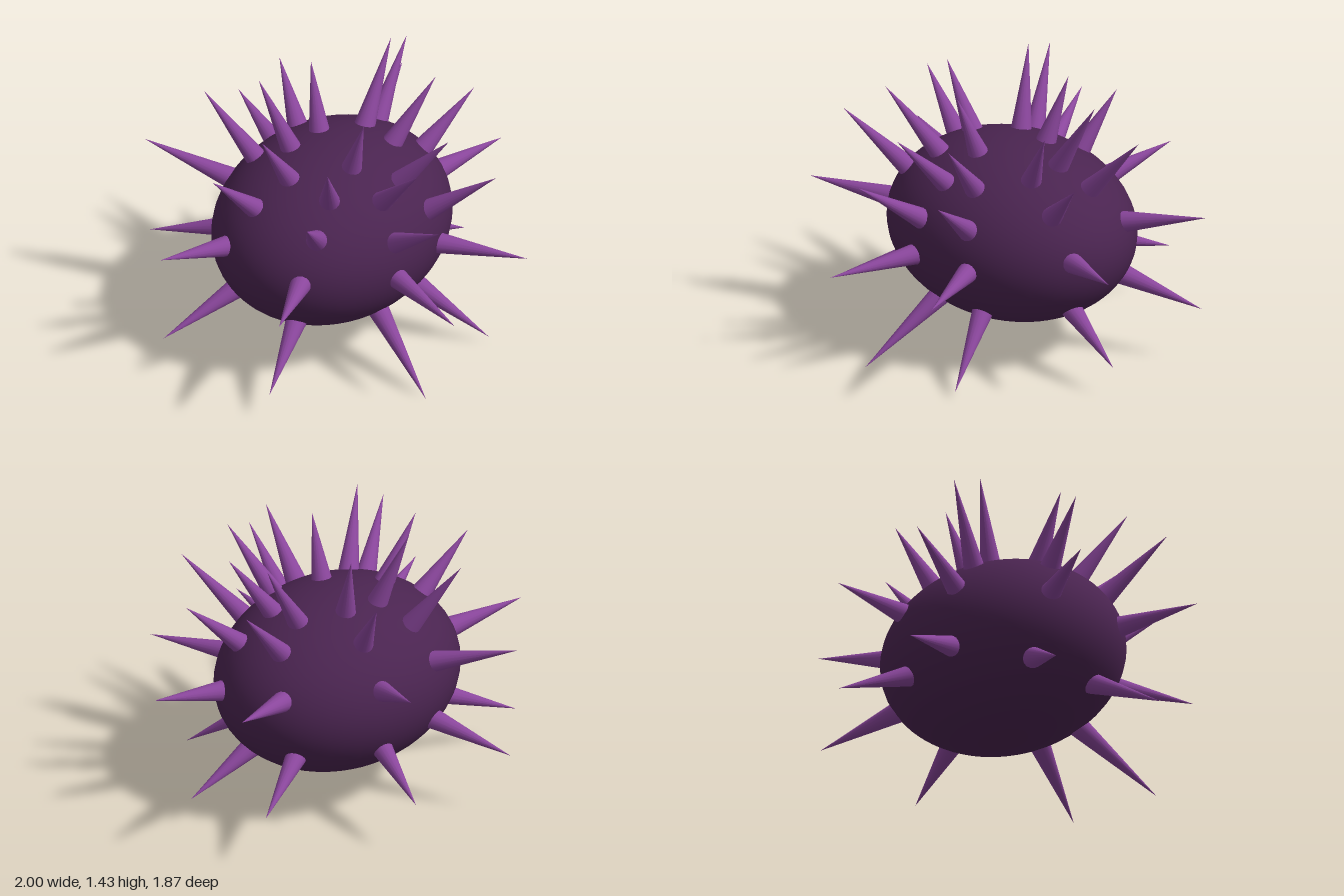
import * as THREE from 'three';

const CENTRE = new THREE.Vector3(0, 0.61, -0.075);
const RADII = new THREE.Vector3(0.673, 0.46, 0.558);
const TURN = THREE.MathUtils.degToRad(33);
const UP = new THREE.Vector3(0, 1, 0);

// Spine tips in rings; aim is the height on the body's axis the spines point away from
const RINGS = [
  { name: 'lowerSpine', aim: 0.6, tips: [
    [-0.94, 0.2, 0.035], [-0.6, 0.15, 0.615], [0.19, 0, 0.73], [0.655, 0.04, 0.39],
    [0.825, 0.155, -0.38], [0.57, 0.3, -0.9], [-0.19, 0.29, -0.935], [-0.74, 0.35, -0.67]] },
  { name: 'sideSpine', aim: 0.59, tips: [
    [-1, 0.765, 0.15], [-0.62, 0.69, 0.8], [0.265, 0.555, 0.93], [0.8, 0.58, 0.55],
    [0.995, 0.705, -0.31], [0.69, 0.86, -0.89], [-0.165, 0.88, -0.935], [-0.78, 0.93, -0.64]] },
  { name: 'upperSpine', aim: 0.4, tips: [
    [-0.73, 1.18, 0.17], [-0.425, 1.14, 0.68], [0.24, 1.02, 0.78], [0.66, 1.06, 0.48],
    [0.8, 1.14, -0.185], [0.59, 1.26, -0.57], [-0.065, 1.25, -0.63], [-0.55, 1.31, -0.415]] },
  { name: 'crownSpine', aim: 0.52, tips: [
    [-0.455, 1.33, 0.14], [-0.25, 1.32, 0.51], [0.205, 1.235, 0.57], [0.45, 1.26, 0.37],
    [0.56, 1.325, -0.095], [0.435, 1.405, -0.385], [0, 1.385, -0.365], [-0.325, 1.43, -0.245],
    [0.055, 1.357, 0.222]] },
];

// Scales world points so that the body becomes a unit sphere
const toSphere = (p) => p.clone().sub(CENTRE).applyAxisAngle(UP, -TURN).divide(RADII);

// Point where the line from tip to target enters the body
function surfacePoint(tip, target) {
  const p = toSphere(tip);
  const d = toSphere(target).sub(p);
  const a = d.dot(d), b = p.dot(d), c = p.dot(p) - 1;
  const t = (-b - Math.sqrt(b * b - a * c)) / a;
  return tip.clone().lerp(target, t);
}

function makeSpine(tip, aim, material) {
  const base = surfacePoint(tip, new THREE.Vector3(CENTRE.x, aim, CENTRE.z));
  const dir = tip.clone().sub(base).normalize();
  base.addScaledVector(dir, -0.035); // sink the foot into the body
  const length = tip.distanceTo(base);
  const geometry = new THREE.ConeGeometry(0.056, length, 16);
  geometry.translate(0, length / 2, 0);
  const spine = new THREE.Mesh(geometry, material);
  spine.position.copy(base);
  spine.quaternion.setFromUnitVectors(UP, dir);
  return spine;
}

export function createModel() {
  const bodyMaterial = new THREE.MeshStandardMaterial({ color: 0x4a2450 });
  bodyMaterial.name = 'dark purple';
  const spineMaterial = new THREE.MeshStandardMaterial({ color: 0x8a469c });
  spineMaterial.name = 'violet';

  const model = new THREE.Group();
  model.name = 'seaUrchin';

  // Flattened oval body
  const body = new THREE.Mesh(new THREE.SphereGeometry(1, 48, 32), bodyMaterial);
  body.name = 'body';
  body.scale.copy(RADII);
  body.rotation.y = TURN;
  body.position.copy(CENTRE);
  model.add(body);

  // Spines
  for (const { name, aim, tips } of RINGS) {
    const ring = new THREE.Group();
    ring.name = name + 's';
    for (const tip of tips) {
      const spine = makeSpine(new THREE.Vector3(...tip), aim, spineMaterial);
      spine.name = name;
      ring.add(spine);
    }
    model.add(ring);
  }
  return model;
}
